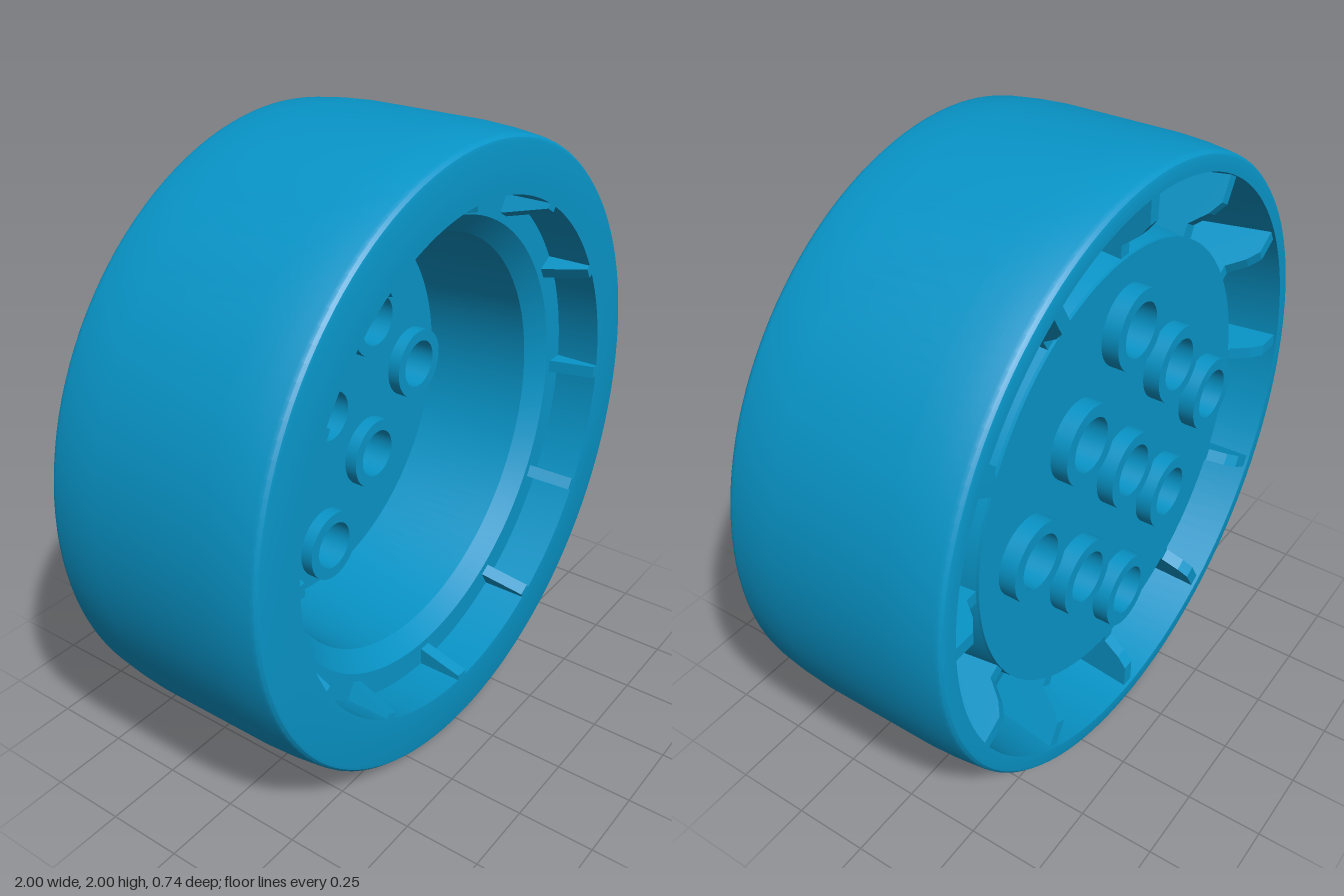
import * as THREE from 'three';
import { toCreasedNormals } from 'three/addons/utils/BufferGeometryUtils.js';

const HOLE_R = 0.085, BOSS_R = 0.125;
const BOSS_BACK = -0.34, BOSS_FRONT = -0.16;
const DISC_BACK = -0.285, DISC_FRONT = -0.205;

// Revolve a closed (radius, z) profile round the z axis
function ring(profile, segments) {
  const points = [...profile, profile[0]].map(([r, z]) => new THREE.Vector2(r, z));
  const geometry = new THREE.LatheGeometry(points, segments).rotateX(Math.PI / 2);
  return toCreasedNormals(geometry, 0.5);
}

// Thin radial plate with a (radius, z) outline
function ribGeometry(outline, thickness) {
  const shape = new THREE.Shape(outline.map(([r, z]) => new THREE.Vector2(r, z)));
  return new THREE.ExtrudeGeometry(shape, { depth: thickness, bevelEnabled: false })
    .translate(0, 0, -thickness / 2)
    .rotateX(Math.PI / 2);
}

export function createModel() {
  const blue = new THREE.MeshStandardMaterial({ color: 0x0895c8 });
  blue.name = 'blue plastic';

  const wheel = new THREE.Group();
  wheel.name = 'wheel';
  wheel.position.y = 1;
  const add = (name, geometry, parent = wheel) => {
    const mesh = new THREE.Mesh(geometry, blue);
    mesh.name = name;
    parent.add(mesh);
    return mesh;
  };

  // Tread, stepped front rim, deep drum and ring-shaped hollow at the back
  add('rim', ring([
    [0.965, -0.37], [0.975, -0.367], [0.983, -0.358], [0.986, -0.345],
    [0.995, -0.27], [1, -0.19], [1, 0.19], [0.995, 0.27],
    [0.986, 0.345], [0.983, 0.358], [0.975, 0.367], [0.965, 0.37],
    [0.815, 0.37], [0.815, 0.22], [0.73, 0.22], [0.67, 0.165],
    [0.645, DISC_FRONT - 0.02], [0.645, DISC_BACK + 0.01], [0.715, DISC_BACK + 0.01],
    [0.73, -0.14], [0.89, -0.1], [0.925, -0.37],
  ], 128));

  // Hole positions: centre, four outer, four diagonal
  const spots = [[0, 0]];
  for (let i = 0; i < 8; i++) {
    const a = (i * Math.PI) / 4;
    const d = i % 2 ? Math.hypot(0.25, 0.25) : 0.5;
    spots.push([d * Math.cos(a), d * Math.sin(a)]);
  }

  // Web disc closing the drum: a plug inside the drum and a wider back plate
  const discGeometry = (radius, back, front) => {
    const disc = new THREE.Shape().absarc(0, 0, radius, 0, Math.PI * 2);
    for (const [x, y] of spots) {
      disc.holes.push(new THREE.Path().absarc(x, y, 0.105, 0, Math.PI * 2, true));
    }
    const geometry = new THREE.ExtrudeGeometry(disc, {
      depth: front - back, bevelEnabled: false, curveSegments: 64,
    }).translate(0, 0, back);
    return toCreasedNormals(geometry, 0.5);
  };
  add('webDisc', discGeometry(0.655, DISC_BACK + 0.015, DISC_FRONT));
  add('backPlate', discGeometry(0.715, DISC_BACK, DISC_BACK + 0.02));

  // Raised collars round the holes, on both sides of the disc
  const bosses = new THREE.Group();
  bosses.name = 'holeCollars';
  wheel.add(bosses);
  const bossGeometry = ring([
    [HOLE_R, BOSS_BACK], [BOSS_R, BOSS_BACK], [BOSS_R, BOSS_FRONT], [HOLE_R, BOSS_FRONT],
  ], 40);
  for (const [x, y] of spots) add('holeCollar', bossGeometry, bosses).position.set(x, y, 0);

  // Twelve small front ribs and twelve gussets in the back hollow
  const ribs = new THREE.Group();
  ribs.name = 'ribs';
  wheel.add(ribs);
  const frontRib = ribGeometry([[0.83, 0.21], [0.83, 0.37], [0.797, 0.37], [0.755, 0.22], [0.755, 0.21]], 0.042);
  const backRib = ribGeometry([
    [0.945, -0.36], [0.945, -0.08], [0.7, -0.08],
    [0.7, -0.275], [0.755, -0.275], [0.8, -0.33], [0.84, -0.36],
  ], 0.042);
  for (let i = 0; i < 12; i++) {
    const angle = (i * Math.PI) / 6;
    add('frontRib', frontRib, ribs).rotation.z = angle;
    add('backGusset', backRib, ribs).rotation.z = angle;
  }

  const model = new THREE.Group();
  model.name = 'wheelModel';
  model.add(wheel);
  return model;
}
